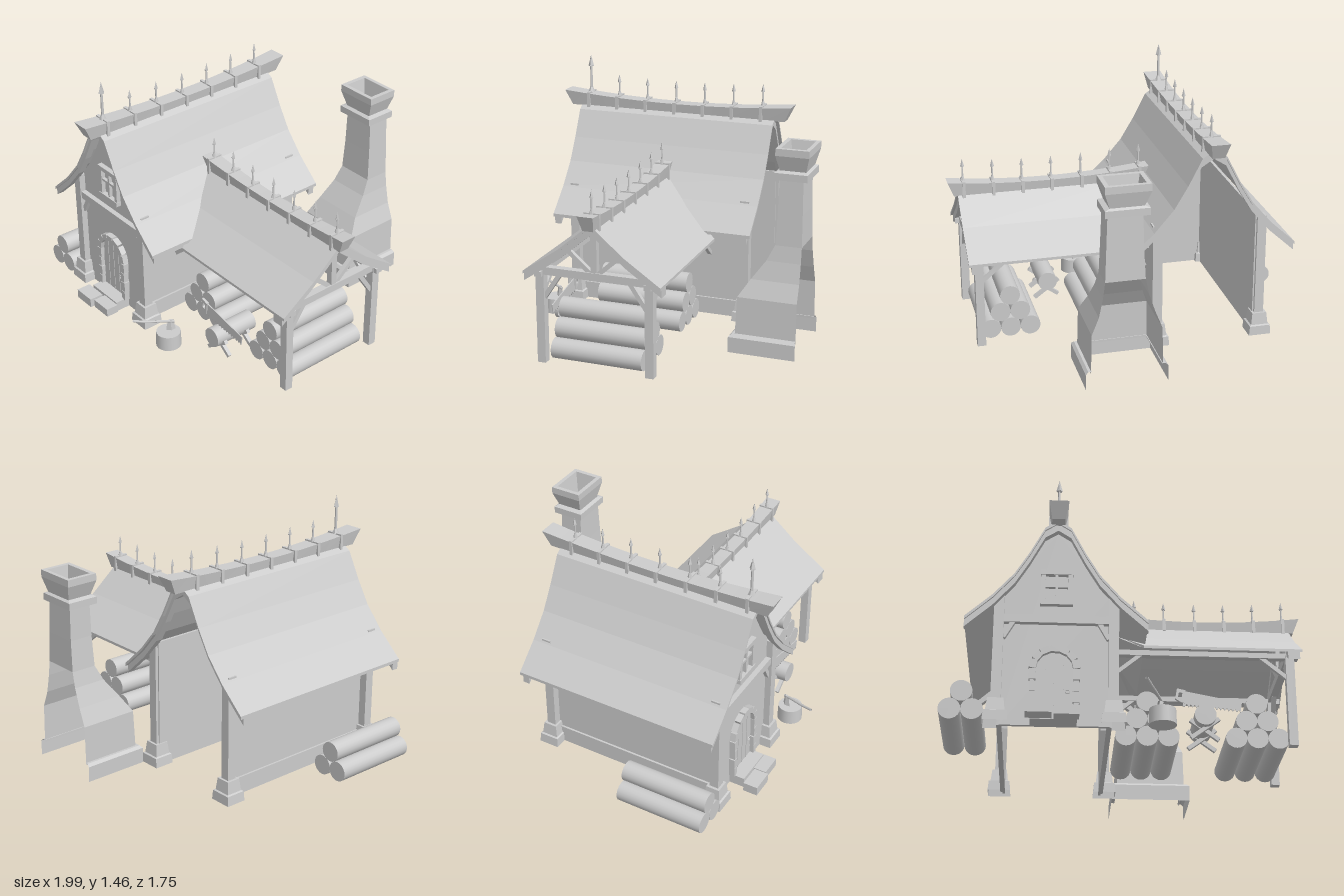
import * as THREE from 'three';

const mat = new THREE.MeshStandardMaterial({ color: 0xcccccc, side: THREE.DoubleSide, flatShading: true });
const smooth = new THREE.MeshStandardMaterial({ color: 0xcccccc, side: THREE.DoubleSide });
const V = (x, y, z) => new THREE.Vector3(x, y, z);

// Main roof: right half of the profile, as offset from the ridge and height
const CX = -0.405, RIDGE_Z = 0.128;
const MAIN = [[0, 1.17], [0.07, 1.125], [0.15, 0.97], [0.228, 0.84], [0.34, 0.71], [0.485, 0.578]];
const WING = [[0, 0.835], [0.19, 0.675], [0.395, 0.535]];

function roofX(y) {
  for (let i = 1; i < MAIN.length; i++) {
    const [u0, y0] = MAIN[i - 1], [u1, y1] = MAIN[i];
    if (y >= y1) return CX + u0 + (u1 - u0) * (y0 - y) / (y0 - y1);
  }
  return CX + 0.485;
}

export function createModel() {
  const root = new THREE.Group();

  const add = (name, geo, parent = root, m = mat) => {
    const mesh = new THREE.Mesh(geo, m);
    mesh.name = name;
    parent.add(mesh);
    return mesh;
  };
  const group = (name) => {
    const g = new THREE.Group();
    g.name = name;
    root.add(g);
    return g;
  };
  // Box given by its extents
  const box = (name, x0, x1, y0, y1, z0, z1, parent) => {
    const m = add(name, new THREE.BoxGeometry(x1 - x0, y1 - y0, z1 - z0), parent);
    m.position.set((x0 + x1) / 2, (y0 + y1) / 2, (z0 + z1) / 2);
    return m;
  };
  // Straight timber between two points
  const beam = (name, a, b, w, d, parent) => {
    const m = add(name, new THREE.BoxGeometry(w, a.distanceTo(b), d), parent);
    m.position.lerpVectors(a, b, 0.5);
    m.quaternion.setFromUnitVectors(V(0, 1, 0), b.clone().sub(a).normalize());
    return m;
  };
  // Rectangular sections [y, x0, x1, z0, z1] joined into walls; skip omits one side (2 = back)
  const loft = (name, rows, parent, { skip = -1, capTop = false } = {}) => {
    const pos = [];
    const ring = ([y, x0, x1, z0, z1]) => [[x0, y, z1], [x1, y, z1], [x1, y, z0], [x0, y, z0]];
    const quad = (a, b, c, d) => pos.push(...a, ...b, ...c, ...a, ...c, ...d);
    for (let r = 1; r < rows.length; r++) {
      const p = ring(rows[r - 1]), q = ring(rows[r]);
      for (let i = 0; i < 4; i++) {
        const j = (i + 1) % 4;
        if (i !== skip) quad(p[i], p[j], q[j], q[i]);
      }
    }
    if (capTop) quad(...ring(rows[rows.length - 1]));
    const g = new THREE.BufferGeometry();
    g.setAttribute('position', new THREE.Float32BufferAttribute(pos, 3));
    g.computeVertexNormals();
    return add(name, g, parent);
  };
  // Bent sheet following a mirrored roof profile, from z0 to z1
  const sheet = (half, drop, t, z0, z1) => {
    const top = [...half.slice(1).reverse().map(([u, y]) => [-u, y]), ...half];
    const pts = [...top.map(([u, y]) => [u, y - drop]), ...top.reverse().map(([u, y]) => [u, y - drop - t])];
    const s = new THREE.Shape(pts.map(([u, y]) => new THREE.Vector2(u, y)));
    return new THREE.ExtrudeGeometry(s, { depth: z1 - z0, bevelEnabled: false }).translate(0, 0, z0);
  };

  // Main roof and its gable boards
  add('mainRoof', sheet(MAIN, 0, 0.018, -0.48, 0.74).translate(CX, 0, 0));
  for (const z of [-0.46, 0.69])
    add('gableBoard', sheet(MAIN, 0.018, 0.04, z, z + 0.04).translate(CX, 0, 0));

  // Walls, open at the back
  const house = group('house');
  const edge = 0.285;
  const gable = [[-edge, 0], [edge, 0], [edge, 0.75], [0.228, 0.81], [0.15, 0.94], [0.07, 1.09], [0, 1.13],
    [-0.07, 1.09], [-0.15, 0.94], [-0.228, 0.81], [-edge, 0.75]].map(([u, y]) => new THREE.Vector2(u + CX, y));
  add('frontWall', new THREE.ExtrudeGeometry(new THREE.Shape(gable), { depth: 0.02, bevelEnabled: false }).translate(0, 0, 0.64), house);
  for (const s of [-1, 1]) {
    const x = CX + s * edge, side = (a, b) => [Math.min(x + s * a, x + s * b), Math.max(x + s * a, x + s * b)];
    box('sideWall', ...side(-0.015, 0), 0, 0.75, -0.41, 0.65, house);
    box('wallFooting', ...side(0, 0.012), 0, 0.1, -0.38, 0.65, house);
    // Corner posts on stepped stones
    const px = CX + s * 0.305;
    for (const z of [-0.4, 0.67]) {
      box('cornerPost', px - 0.027, px + 0.027, 0.1, 0.73, z - 0.027, z + 0.027, house);
      loft('postStone', [[0, px - 0.065, px + 0.065, z - 0.06, z + 0.06], [0.055, px - 0.06, px + 0.06, z - 0.058, z + 0.058],
        [0.06, px - 0.05, px + 0.05, z - 0.048, z + 0.048], [0.13, px - 0.042, px + 0.042, z - 0.04, z + 0.04]], house, { capTop: true });
    }
    beam('frontBrace', V(CX + s * 0.28, 0.49, 0.67), V(CX + s * 0.225, 0.59, 0.67), 0.025, 0.025, house);
  }
  box('frontTieBeam', CX - 0.285, CX + 0.285, 0.575, 0.62, 0.655, 0.69, house);

  // Arched door with stone surround
  const door = group('door');
  const DX = -0.41, DY = 0.31;
  const arch = new THREE.Shape();
  arch.moveTo(DX - 0.1, 0.04).lineTo(DX + 0.1, 0.04).lineTo(DX + 0.1, DY).absarc(DX, DY, 0.1, 0, Math.PI).closePath();
  add('doorLeaf', new THREE.ExtrudeGeometry(arch, { depth: 0.035, bevelEnabled: false, curveSegments: 10 }).translate(0, 0, 0.635), door);
  for (let i = 0; i < 7; i++) {
    const a = Math.PI * (i + 0.5) / 7;
    const m = add('archStone', new THREE.BoxGeometry(0.036, 0.05, 0.045), door);
    m.position.set(DX + 0.114 * Math.cos(a), DY + 0.114 * Math.sin(a), 0.672);
    m.rotation.z = a;
  }
  for (const s of [-1, 1]) for (let i = 0; i < 4; i++) {
    const w = i % 2 ? 0.036 : 0.028, x = DX + s * 0.115;
    box('jambStone', x - w / 2, x + w / 2, 0.055 + i * 0.064, 0.115 + i * 0.064, 0.65, 0.694, door);
  }
  for (const x of [-0.46, -0.41, -0.36]) box('plankGap', x - 0.002, x + 0.002, 0.05, 0.39, 0.668, 0.673, door);
  const handle = add('doorHandle', new THREE.TorusGeometry(0.011, 0.003, 6, 12), door);
  handle.position.set(-0.34, 0.185, 0.676);
  box('stepStone', -0.555, -0.42, 0, 0.055, 0.76, 0.845, door);
  box('stepStone', -0.41, -0.28, 0, 0.05, 0.75, 0.825, door);
  box('threshold', -0.53, -0.29, 0, 0.06, 0.65, 0.75, door);

  // Gable window
  const win = group('window');
  for (const x of [-0.48, -0.335]) box('windowFrame', x - 0.012, x + 0.012, 0.69, 0.89, 0.655, 0.685, win);
  for (const y of [0.698, 0.878]) box('windowFrame', -0.495, -0.32, y - 0.013, y + 0.013, 0.655, 0.69, win);
  box('windowBar', -0.415, -0.4, 0.7, 0.88, 0.655, 0.68, win);
  box('windowBar', -0.48, -0.335, 0.792, 0.806, 0.655, 0.68, win);

  // Ridge beams with upturned ends, straps and spikes, built along x
  const ridge = (name, len, h, half, stations, tall) => {
    const g = group(name);
    const geo = new THREE.BoxGeometry(len, 1, 1, 12, 1, 1);
    const p = geo.attributes.position;
    for (let i = 0; i < p.count; i++) {
      const up = p.getY(i) > 0, t = p.getX(i) / (len / 2);
      p.setXYZ(i, p.getX(i) * (up ? 1 : 0.94), up ? h + 0.035 * t * t : 0, Math.sign(p.getZ(i)) * half * (up ? 1 + 0.2 * t * t : 0.8));
    }
    add('ridgeBeam', geo, g);
    stations.forEach((x, i) => {
      const big = tall && i === 0, k = big ? 0.225 : 0.13, r = big ? 1.5 : 1;
      const bend = 0.035 * (x / (len / 2)) ** 2, top = h + bend;
      box('ridgeStrap', x - 0.009, x + 0.009, -0.01, top + 0.008, -half - 0.008, half + 0.008, g);
      const parts = [
        ['spikeFoot', new THREE.CylinderGeometry(0.006 * r, 0.014 * r, 0.03, 6), top + 0.018],
        ['spikeRod', new THREE.CylinderGeometry(0.004 * r, 0.006 * r, k - 0.03, 6), top + k / 2],
        ['spikeCollar', new THREE.CylinderGeometry(0.01 * r, 0.01 * r, 0.006, 6), top + k - 0.04 * r],
        ['spikeTip', new THREE.ConeGeometry(0.012 * r, 0.045 * r, 4), top + k - 0.018 * r],
      ];
      for (const [n, geom, y] of parts) add(n, geom, g).position.set(x, y, 0);
    });
    return g;
  };
  const mainRidge = ridge('mainRidge', 1.43, 0.055, 0.045, [-0.562, -0.377, -0.194, -0.01, 0.17, 0.35, 0.53], true);
  mainRidge.position.set(CX, 1.143, 0.13);
  mainRidge.rotation.y = Math.PI / 2;
  const wingRidge = ridge('wingRidge', 1.175, 0.053, 0.038, [-0.535, -0.362, -0.191, -0.015, 0.155, 0.325, 0.495], false);
  wingRidge.position.set(0.405, 0.807, RIDGE_Z);

  // Wing roof, its inner end trimmed to the slope of the main roof
  const wr = sheet(WING, 0, 0.016, 0, 1).rotateY(Math.PI / 2);
  const wp = wr.attributes.position;
  for (let i = 0; i < wp.count; i++) {
    wp.setX(i, wp.getX(i) > 0.5 ? 0.935 : roofX(wp.getY(i)) - 0.01);
    wp.setZ(i, wp.getZ(i) + RIDGE_Z);
  }
  wr.computeVertexNormals();
  add('wingRoof', wr);

  // Wing timber frame
  const frame = group('wingFrame');
  const END = 0.873;
  for (const s of [-1, 1]) {
    const z = RIDGE_Z + s * 0.315;
    box('wingPost', END - 0.024, END + 0.024, 0, 0.53, z - 0.024, z + 0.024, frame);
    box('eaveBeam', -0.11, 0.92, 0.505, 0.535, z - 0.02, z + 0.02, frame);
    beam('eaveBrace', V(END - 0.01, 0.39, z), V(END - 0.16, 0.515, z), 0.022, 0.022, frame);
    beam('eaveBrace', V(-0.09, 0.39, z), V(0.06, 0.515, z), 0.022, 0.022, frame);
    beam('trussBrace', V(END, 0.38, z - s * 0.02), V(END, 0.515, z - s * 0.11), 0.025, 0.025, frame);
    beam('trussStrut', V(END, 0.545, RIDGE_Z + s * 0.02), V(END, 0.66, RIDGE_Z + s * 0.15), 0.025, 0.025, frame);
  }
  add('trussRafters', sheet(WING, 0.014, 0.045, 0.855, 0.92).rotateY(Math.PI / 2).translate(0, 0, RIDGE_Z), frame);
  box('tieBeam', END - 0.022, END + 0.022, 0.512, 0.555, RIDGE_Z - 0.32, RIDGE_Z + 0.32, frame);
  box('kingPost', END - 0.018, END + 0.018, 0.55, 0.8, RIDGE_Z - 0.018, RIDGE_Z + 0.018, frame);

  // Chimney, open at the back below the shaft
  const chimney = group('chimney');
  loft('chimneyPlinth', [[0, -0.05, 0.41, -0.85, -0.465], [0.09, -0.05, 0.41, -0.85, -0.465],
    [0.105, -0.035, 0.395, -0.845, -0.48], [0.105, -0.015, 0.375, -0.845, -0.5]], chimney, { skip: 2 });
  loft('chimneyHood', [[0.09, -0.02, 0.38, -0.845, -0.495], [0.32, -0.015, 0.375, -0.845, -0.505], [0.42, 0.025, 0.335, -0.845, -0.57],
    [0.53, 0.062, 0.312, -0.845, -0.65], [0.62, 0.08, 0.3, -0.845, -0.695]], chimney, { skip: 2 });
  loft('chimneyShaft', [[0.62, 0.08, 0.3, -0.845, -0.695], [0.8, 0.09, 0.293, -0.843, -0.703], [1, 0.094, 0.285, -0.84, -0.708]], chimney);
  loft('chimneyCollar', [[0.985, 0.085, 0.28, -0.845, -0.7], [0.99, 0.06, 0.303, -0.866, -0.68],
    [1.03, 0.06, 0.303, -0.866, -0.68], [1.04, 0.09, 0.275, -0.85, -0.7]], chimney);
  loft('chimneyCap', [[1.035, 0.09, 0.275, -0.85, -0.705], [1.125, 0.055, 0.305, -0.873, -0.685], [1.165, 0.055, 0.305, -0.873, -0.685],
    [1.165, 0.08, 0.28, -0.85, -0.71], [1.0, 0.11, 0.255, -0.825, -0.735]], chimney, { capTop: true });

  // Log piles, lying along z
  const R = 0.058;
  const log = (x, y, z0, z1, parent) => {
    const m = add('log', new THREE.CylinderGeometry(R, R, z1 - z0, 20).rotateX(Math.PI / 2), parent, smooth);
    m.position.set(x, y, (z0 + z1) / 2);
  };
  for (const [name, x, rows, z0, z1] of [['leftLogPile', -0.885, 2, 0.205, 0.725],
    ['middleLogPile', 0.095, 3, -0.125, 0.405], ['rightLogPile', 0.69, 3, -0.125, 0.405]]) {
    const pile = group(name);
    for (let r = 0; r < rows; r++) for (let i = 0; i < rows - r; i++)
      log(x + (i - (rows - r - 1) / 2) * 0.115, R + r * 0.1, z0, z1, pile);
  }

  // Sawhorse with log and saw
  const horse = group('sawhorse');
  log(0.39, 0.118, 0.3, 0.575, horse);
  for (const z of [0.36, 0.52]) for (const s of [-1, 1])
    beam('sawhorseLeg', V(0.39 - s * 0.075, 0, z + s * 0.012), V(0.39 + s * 0.075, 0.11, z + s * 0.012), 0.022, 0.022, horse);
  const blade = new THREE.Shape();
  blade.moveTo(0.275, 0.185).lineTo(0.28, 0.272).lineTo(0.592, 0.212).lineTo(0.582, 0.155);
  for (let i = 0; i < 14; i++) {
    const x = 0.575 - i * 0.0214, y = 0.158 + i * 0.0019;
    blade.lineTo(x, y + 0.014).lineTo(x - 0.011, y);
  }
  add('sawBlade', new THREE.ExtrudeGeometry(blade, { depth: 0.006, bevelEnabled: false }).translate(0, 0, 0.517), horse);
  const grip = new THREE.Shape([[0.245, 0.285], [0.29, 0.274], [0.285, 0.2], [0.265, 0.205], [0.235, 0.225]].map((p) => new THREE.Vector2(...p)));
  grip.holes.push(new THREE.Path([[0.255, 0.262], [0.25, 0.235], [0.268, 0.225], [0.274, 0.258]].map((p) => new THREE.Vector2(...p))));
  add('sawGrip', new THREE.ExtrudeGeometry(grip, { depth: 0.016, bevelEnabled: false }).translate(0, 0, 0.512), horse);

  // Chopping block with axe
  const chop = group('choppingBlock');
  add('stump', new THREE.CylinderGeometry(0.07, 0.073, 0.088, 20), chop, smooth).position.set(0.152, 0.044, 0.7);
  const path = new THREE.CatmullRomCurve3([V(0.155, 0.14, 0.66), V(0.125, 0.155, 0.73), V(0.09, 0.168, 0.81), V(0.058, 0.188, 0.875)]);
  add('axeHandle', new THREE.TubeGeometry(path, 10, 0.008, 6), chop, smooth);
  const head = add('axeHead', new THREE.CylinderGeometry(0.016, 0.03, 0.075, 4).scale(0.5, 1, 1), chop);
  head.position.set(0.146, 0.115, 0.678);
  head.rotation.y = -0.43;

  return root;
}
